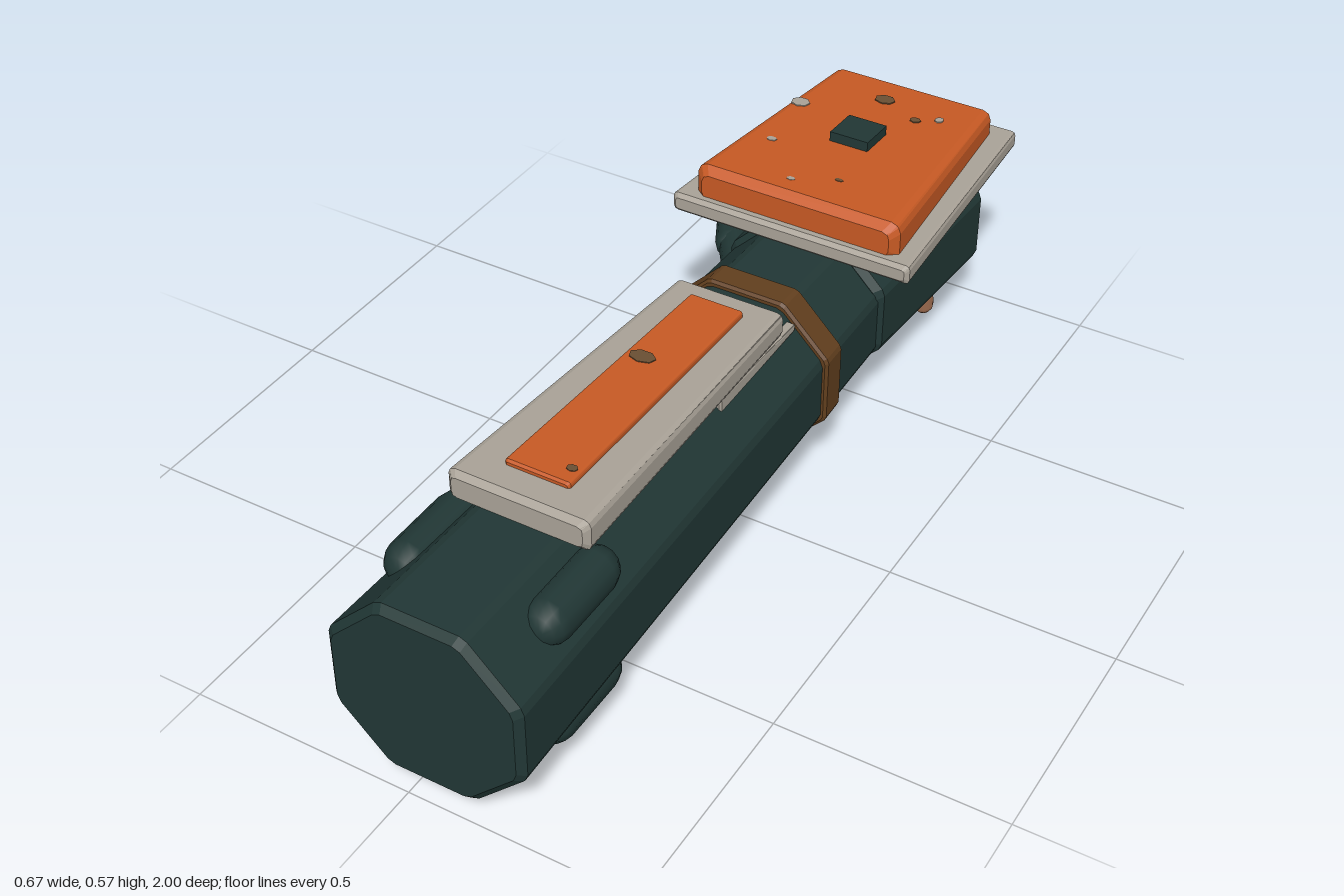
import * as THREE from 'three';

const mat = (name, color) => {
  const m = new THREE.MeshStandardMaterial({ color });
  m.name = name;
  return m;
};

// Cross-section: rectangle with chamfered corners, each chamfer edge softened by b
function outline({ cx, hw, y0, y1 }, k, b) {
  const cy = (y0 + y1) / 2, hh = (y1 - y0) / 2;
  const c = k * Math.min(hw, hh), s = b * 0.7;
  const quarter = [[hw, hh - c - b], [hw - s, hh - c + s], [hw - c + s, hh - s], [hw - c - b, hh]];
  const pts = [];
  [[1, 1], [-1, 1], [-1, -1], [1, -1]].forEach(([sx, sy], i) => {
    const q = i % 2 ? [...quarter].reverse() : quarter;
    q.forEach(([x, y]) => pts.push([cx + sx * x, cy + sy * y]));
  });
  return pts;
}

// Faceted bar between two cross-sections along z (z0 < z1), with bevelled ends
function bar(z0, z1, s0, s1, { k = 0.586, b = 0.01, e = 0.015 } = {}) {
  const inset = (s) => ({ cx: s.cx, hw: s.hw - e, y0: s.y0 + e, y1: s.y1 - e });
  const rings = [[z0, inset(s0)], [z0 + e, s0], [z1 - e, s1], [z1, inset(s1)]]
    .map(([z, s]) => outline(s, k, b).map(([x, y]) => [x, y, z]));
  const pos = [], n = rings[0].length, last = rings.length - 1;
  const tri = (...p) => p.forEach((v) => pos.push(...v));
  for (let i = 0; i < last; i++) {
    for (let j = 0; j < n; j++) {
      const m = (j + 1) % n;
      const a = rings[i][j], b1 = rings[i][m], c = rings[i + 1][m], d = rings[i + 1][j];
      tri(a, b1, c);
      tri(a, c, d);
    }
  }
  for (let j = 1; j < n - 1; j++) {
    tri(rings[last][0], rings[last][j], rings[last][j + 1]);
    tri(rings[0][0], rings[0][j + 1], rings[0][j]);
  }
  const g = new THREE.BufferGeometry();
  g.setAttribute('position', new THREE.Float32BufferAttribute(pos, 3));
  g.computeVertexNormals();
  return g;
}

const sec = (x0, x1, y0, y1) => ({ cx: (x0 + x1) / 2, hw: (x1 - x0) / 2, y0, y1 });

export function createModel() {
  const group = new THREE.Group();
  const green = mat('dark green cloth', 0x213735);
  const orange = mat('orange paint', 0xc85a24);
  const grey = mat('grey armour', 0xaaa398);
  const brown = mat('brown leather', 0x623f1e);
  const skin = mat('skin', 0xa47153);
  const dirt = mat('worn patch', 0x6b5034);

  const add = (name, geo, material) => {
    const mesh = new THREE.Mesh(geo, material);
    mesh.name = name;
    group.add(mesh);
    return mesh;
  };
  // Capsule whose end points (tips of the rounded ends) are a and b
  const capsule = (name, a, b, r, material) => {
    const p = new THREE.Vector3(...a), q = new THREE.Vector3(...b);
    const d = q.clone().sub(p), len = d.length();
    const mesh = add(name, new THREE.CapsuleGeometry(r, Math.max(len - 2 * r, 0.001), 4, 12), material);
    mesh.position.copy(p).add(q).multiplyScalar(0.5);
    mesh.quaternion.setFromUnitVectors(new THREE.Vector3(0, 1, 0), d.normalize());
    return mesh;
  };

  // Octagonal sleeve, glove and wrist strap
  add('forearm', bar(-0.46, 1, sec(-0.135, 0.23, 0.083, 0.42), sec(-0.16, 0.265, 0.047, 0.455)), green);
  add('hand', bar(-0.945, -0.44, sec(-0.15, 0.25, 0.045, 0.437), sec(-0.14, 0.24, 0.08, 0.44)), green);
  add('wristStrap', bar(-0.247, -0.175, sec(-0.148, 0.246, 0.07, 0.438), sec(-0.149, 0.248, 0.068, 0.44),
    { b: 0.006, e: 0.006 }), brown);

  // Padded bumps on the four sloping sides near the elbow
  for (const sx of [-1, 1]) {
    for (const [y, dx] of [[0.385, 0.152], [0.135, 0.15]]) {
      capsule('elbowPad', [0.052 + sx * dx, y, 0.61], [0.052 + sx * dx, y, 0.86], 0.049, green);
    }
  }

  // Forearm guard
  add('forearmPlate', bar(-0.12, 0.68, sec(-0.075, 0.175, 0.415, 0.47), sec(-0.106, 0.206, 0.437, 0.508),
    { k: 0.25, b: 0.006, e: 0.012 }), grey);
  add('forearmPanel', bar(-0.06, 0.608, sec(-0.013, 0.11, 0.455, 0.487), sec(-0.022, 0.122, 0.48, 0.517),
    { k: 0.2, b: 0.002, e: 0.005 }), orange);
  for (const sx of [-1, 1]) {
    const x = 0.05 + sx * 0.113;
    add('guardRail', bar(-0.17, 0.15, sec(x - 0.01, x + 0.01, 0.392, 0.408), sec(x - 0.015, x + 0.015, 0.388, 0.425),
      { k: 0.2, b: 0.002, e: 0.004 }), grey);
  }

  // Hand guard
  add('handPlate', bar(-1, -0.355, sec(-0.19, 0.294, 0.432, 0.473), sec(-0.235, 0.335, 0.446, 0.491),
    { k: 0.25, b: 0.004, e: 0.009 }), grey);
  add('handPanel', bar(-0.97, -0.378, sec(-0.148, 0.246, 0.45, 0.531), sec(-0.192, 0.294, 0.465, 0.563),
    { k: 0.3, b: 0.008, e: 0.018 }), orange);
  const button = add('button', new THREE.BoxGeometry(0.092, 0.03, 0.092), green);
  button.position.set(0.048, 0.554, -0.68);
  button.rotation.x = -0.054;

  // Worn spots: x, z, radius x, radius z, material
  const spots = [
    [0.02, -0.87, 0.024, 0.02, dirt], [0.12, -0.82, 0.013, 0.011, dirt], [0.1, -0.49, 0.01, 0.006, dirt],
    [0.165, -0.85, 0.01, 0.012, grey], [-0.135, -0.755, 0.022, 0.02, grey], [-0.108, -0.57, 0.012, 0.009, grey],
    [0.01, -0.44, 0.01, 0.007, grey], [0.022, 0.19, 0.03, 0.02, dirt], [0.1, 0.565, 0.012, 0.01, dirt],
  ];
  for (const [x, z, rx, rz, m] of spots) {
    const onHand = z < -0.3;
    const slope = onHand ? 0.032 / 0.592 : 0.03 / 0.668;
    const y = onHand ? 0.531 + (z + 0.97) * slope : 0.487 + (z + 0.06) * slope;
    const spot = add('wornSpot', new THREE.CylinderGeometry(1, 1, 0.004, 7), m);
    spot.scale.set(rx, 1, rz);
    spot.position.set(x, y, z);
    spot.rotation.x = -Math.atan(slope);
  }

  // Thumb: gloved joints, then the bare tip
  capsule('thumbBase', [-0.09, 0.24, -0.42], [-0.225, 0.24, -0.62], 0.041, green);
  capsule('thumbJoint', [-0.19, 0.242, -0.54], [-0.262, 0.242, -0.68], 0.037, green);
  capsule('thumbCuff', [-0.215, 0.244, -0.59], [-0.292, 0.244, -0.735], 0.033, green);
  capsule('thumbTip', [-0.265, 0.245, -0.68], [-0.318, 0.245, -0.823], 0.03, skin);

  // Curled fingers: x, lowest y, z, radius
  capsule('indexKnuckle', [-0.13, 0.155, -0.56], [-0.13, 0.155, -0.88], 0.045, green);
  for (const [x, y, z, r] of [[-0.092, 0.035, -0.87, 0.028], [0.003, 0, -0.885, 0.029],
    [0.098, 0.022, -0.875, 0.028], [0.189, 0.062, -0.79, 0.024]]) {
    capsule('fingerTip', [x, y + 0.13, z + 0.03], [x, y, z], r, skin);
  }
  return group;
}
